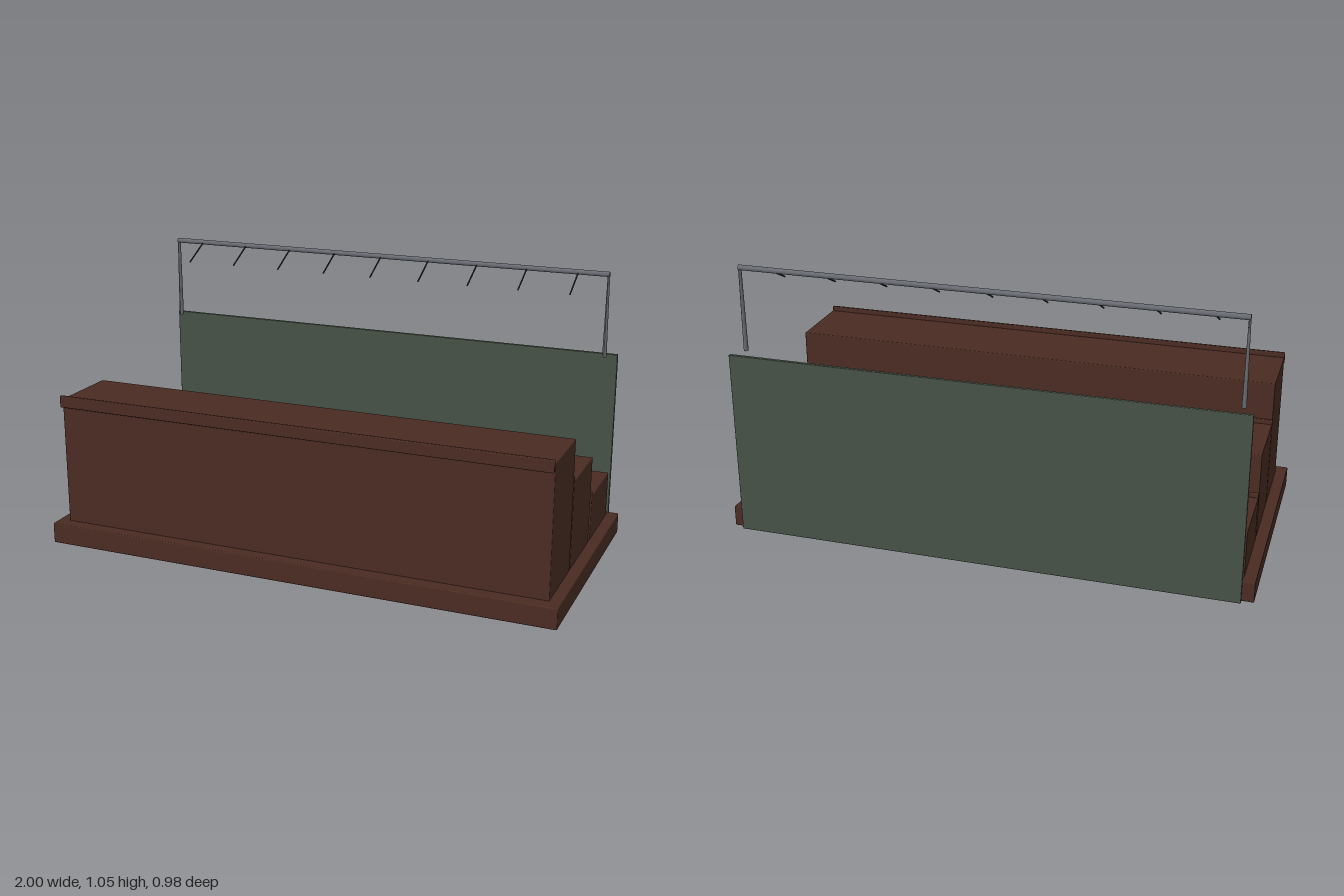
import * as THREE from 'three';
import { RoundedBoxGeometry } from 'three/addons/geometries/RoundedBoxGeometry.js';

const material = (name, color) => {
  const m = new THREE.MeshStandardMaterial({ color });
  m.name = name;
  return m;
};

export function createModel() {
  const wood = material('dark brown wood', 0x4a2c22);
  const green = material('dull green panel', 0x465145);
  const steel = material('grey steel', 0x666a70);
  const iron = material('dark iron', 0x2a2c2f);
  const model = new THREE.Group();
  model.name = 'tieredDisplayStand';

  const add = (name, geometry, mat) => {
    const mesh = new THREE.Mesh(geometry, mat);
    mesh.name = name;
    model.add(mesh);
    return mesh;
  };
  // Softened block given by its width and its y and z limits
  const block = (name, mat, width, y0, y1, z0, z1, radius = 0.004) => {
    const g = new RoundedBoxGeometry(width, y1 - y0, z1 - z0, 2, radius);
    add(name, g, mat).position.set(0, (y0 + y1) / 2, (z0 + z1) / 2);
  };
  // Round bar between two points
  const bar = (name, mat, from, to, radius, sides) => {
    const a = new THREE.Vector3(...from), b = new THREE.Vector3(...to);
    const dir = b.clone().sub(a);
    const mesh = add(name, new THREE.CylinderGeometry(radius, radius, dir.length(), sides), mat);
    mesh.position.copy(a).add(b).multiplyScalar(0.5);
    mesh.quaternion.setFromUnitVectors(new THREE.Vector3(0, 1, 0), dir.normalize());
    return mesh;
  };

  // Plinth
  block('plinth', wood, 2, 0, 0.08, -0.465, 0.49);

  // Three tiers, each with a lip along its front edge
  const tiers = [
    { top: 0.575, z0: 0.158, z1: 0.44, lip: 0.451 },
    { top: 0.415, z0: -0.13, z1: 0.152, lip: 0.149 },
    { top: 0.255, z0: -0.433, z1: -0.15, lip: -0.155 },
  ];
  tiers.forEach(({ top, z0, z1, lip }, i) => {
    block('tier' + (i + 1), wood, 1.914, 0.075, top, z0, z1);
    block('tierLip' + (i + 1), wood, 1.916, top - 0.03, top + 0.016, lip - 0.007, lip + 0.007);
  });

  // Back panel
  block('backPanel', green, 1.914, 0.003, 0.72, -0.489, -0.475, 0.003);

  // Rail with a slim post at each end, narrowing upwards when seen from the front
  const railZ = -0.427;
  bar('rail', steel, [-0.92, 1.04, railZ], [0.92, 1.04, railZ], 0.01, 16);
  for (const side of [-1, 1]) {
    const g = new THREE.CylinderGeometry(0.01, 0.01, 0.32, 16);
    const p = g.attributes.position;
    for (let i = 0; i < p.count; i++) p.setX(i, p.getX(i) * (p.getY(i) > 0 ? 0.4 : 0.85));
    g.computeVertexNormals();
    add(side > 0 ? 'leftPost' : 'rightPost', g, steel).position.set(side * 0.916, 0.88, railZ);
  }

  // Row of sloping hooks
  for (let i = -4; i <= 4; i++) {
    bar('hook' + (i + 5), iron, [i * 0.2, 1.04, railZ], [i * 0.2, 0.978, -0.306], 0.003, 8);
  }
  return model;
}
